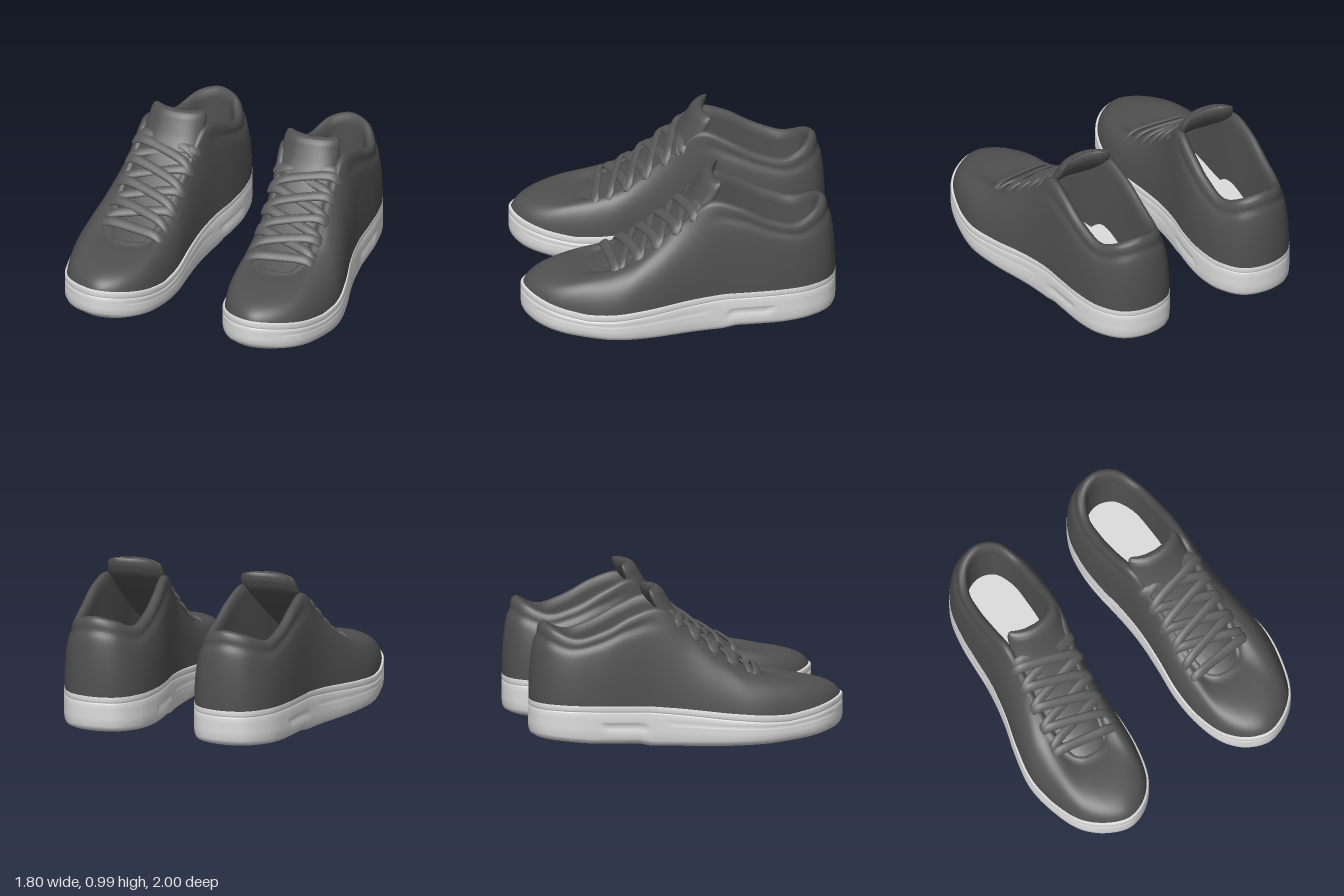
import * as THREE from 'three';

const N = 144; // points around the shoe
const { lerp, clamp, smoothstep } = THREE.MathUtils;

// Stations from the toe, round the outer side, heel and inner side:
// sole outline x, z, then opening rim x, y, z
const STATIONS = [
  [.525, .997, .49, .385, .56], [.66, .95, .58, .385, .55], [.79, .83, .64, .39, .50], [.868, .63, .68, .43, .40],
  [.90, .40, .70, .50, .27], [.86, .17, .70, .60, .13], [.80, -.05, .69, .73, -.03], [.765, -.25, .69, .86, -.20],
  [.755, -.45, .70, .82, -.38], [.745, -.62, .695, .73, -.56], [.705, -.81, .67, .68, -.74], [.60, -.955, .585, .735, -.885],
  [.44, -1.0, .445, .765, -.935], [.28, -.955, .31, .735, -.885], [.185, -.81, .235, .68, -.74], [.155, -.62, .22, .73, -.56],
  [.165, -.43, .225, .82, -.38], [.20, -.22, .25, .88, -.20], [.215, -.03, .28, .73, -.03], [.21, .17, .30, .60, .13],
  [.195, .40, .32, .50, .27], [.215, .63, .34, .43, .40], [.28, .83, .37, .39, .50], [.39, .95, .43, .385, .55],
];

// Heights along z, as [z, y] pairs
const SOLE_TOP = [[1, .278], [.9, .255], [.75, .222], [.6, .197], [.45, .197], [.2, .215], [0, .235], [-.28, .262], [-1, .28]];
const SOLE_BOTTOM = [[1, .088], [.92, .066], [.73, .038], [.47, .015], [.2, .003], [0, 0], [-.27, .002], [-.35, .02], [-.65, .025], [-1, .05]];
const THROAT = [[.6, .37], [.54, .385], [.4, .43], [.27, .5], [.13, .6], [-.03, .73], [-.2, .86]];

function heightAt(table, z) {
  for (let i = 1; i < table.length; i++) {
    const [z0, y0] = table[i - 1], [z1, y1] = table[i];
    if (z >= z1) return lerp(y0, y1, clamp((z - z0) / (z1 - z0), 0, 1));
  }
  return table[table.length - 1][1];
}
const throatX = (z) => .465 + .035 * clamp((z + .2) / .75, 0, 1);

// Surface through rows of points, each row a closed ring
function loft(rows) {
  const n = rows[0].length, index = [];
  for (let j = 0; j < rows.length - 1; j++) {
    for (let i = 0; i < n; i++) {
      const k = (i + 1) % n, a = j * n + i, b = j * n + k, c = b + n, d = a + n;
      index.push(a, b, c, a, c, d);
    }
  }
  const g = new THREE.BufferGeometry();
  g.setAttribute('position', new THREE.Float32BufferAttribute(rows.flat(2), 3));
  g.setIndex(index);
  g.computeVertexNormals();
  return g;
}

// Closed curve sampled with its outward plan direction
function ring(points) {
  const curve = new THREE.CatmullRomCurve3(points, true);
  return Array.from({ length: N }, (_, i) => {
    const p = curve.getPoint(i / N), t = curve.getTangent(i / N);
    const l = Math.hypot(t.x, t.z) || 1;
    return { x: p.x, y: p.y, z: p.z, ox: -t.z / l, oz: t.x / l };
  });
}
const OUTLINE = ring(STATIONS.map((s) => new THREE.Vector3(s[0], 0, s[1])));
const RIM = ring(STATIONS.map((s) => new THREE.Vector3(s[2], s[3], s[4])));

function soleGeometry() {
  const rows = [];
  // underside, closing on a line down the middle
  for (const k of [0, .3, .6, .85]) {
    rows.push(OUTLINE.map((p) => {
      const z = p.z * lerp(.75, 1, k);
      return [lerp(.48, p.x, k), heightAt(SOLE_BOTTOM, z), z];
    }));
  }
  const side = (inset, y) => rows.push(OUTLINE.map((p) => {
    const d = inset(p.z);
    return [p.x - p.ox * d, y(heightAt(SOLE_BOTTOM, p.z), heightAt(SOLE_TOP, p.z)), p.z - p.oz * d];
  }));
  side(() => .035, (b) => b);
  side(() => .013, (b) => b + .012);
  side(() => .003, (b) => b + .035);
  // side rib at the front and slot at the heel
  const slot = (z) => (z < -.31 && z > -.57 ? .01 : 0);
  const rib = (z) => (z > -.17 && z < .9 ? .004 : 0);
  side(() => 0, (b, t) => lerp(b, t, .32));
  side(slot, (b, t) => lerp(b, t, .38));
  side(slot, (b, t) => lerp(b, t, .5));
  side(() => 0, (b, t) => lerp(b, t, .53));
  side(rib, (b, t) => lerp(b, t, .59));
  side(() => 0, (b, t) => lerp(b, t, .64));
  // stitched groove and upper lip
  for (const [d, h] of [[0, .05], [.006, .044], [.006, .04], [0, .034], [0, .006], [.006, 0], [.06, 0]]) {
    side(() => d, (b, t) => t - h);
  }
  return loft(rows);
}

function upperGeometry() {
  const rows = [], steps = 22;
  // outer wall, bulging from the sole up to the rim
  for (let j = 0; j <= steps; j++) {
    const t = j / steps, a = (1 - t) ** 2, b = 2 * t * (1 - t), c = t * t;
    rows.push(OUTLINE.map((p, i) => {
      const r = RIM[i], front = smoothstep(p.z, .35, .85), fore = smoothstep(p.z, -.4, .4);
      const inset = lerp(.003, .013, fore), lean = lerp(-.04, .09, fore);
      const bx = p.x - p.ox * inset, bz = p.z - p.oz * inset, by = heightAt(SOLE_TOP, p.z) - .01;
      const cx = lerp(bx, r.x, lean), cz = lerp(bz, r.z, lean), cy = lerp(by, r.y, .7 + .45 * front);
      // crease under the padded collar
      const crease = .01 * Math.exp(-(((t - .8) / .07) ** 2)) * (1 - smoothstep(p.z, -.4, -.15));
      return [a * bx + b * cx + c * r.x - p.ox * crease, a * by + b * cy + c * r.y, a * bz + b * cz + c * r.z - p.oz * crease];
    }));
  }
  // rolled rim and lining
  for (const [d, h] of [[.012, .011], [.03, .015], [.048, .002], [.056, -.05]]) {
    rows.push(RIM.map((r) => [r.x - r.ox * d, r.y + h, r.z - r.oz * d]));
  }
  rows.push(RIM.map((r) => [r.x - r.ox * .06, Math.max(.29, r.y - .5), r.z - r.oz * .06]));
  return loft(rows);
}

function insoleGeometry() {
  return loft([.91, .5, .01].map((k) => OUTLINE.map((p) => [lerp(.48, p.x, Math.min(k, .84)), .305, p.z * k])));
}

function tongueGeometry() {
  // centre line z, y with half width and half thickness
  const stations = [
    [.6, .355, .13, .015], [.4, .432, .155, .022], [.2, .555, .17, .024], [0, .715, .18, .026], [-.1, .815, .19, .035],
    [-.16, .895, .19, .045], [-.185, .945, .186, .042], [-.198, .972, .178, .03], [-.205, .985, .165, .014], [-.206, .987, .15, .001],
  ];
  const path = new THREE.CatmullRomCurve3(stations.map(([z, y]) => new THREE.Vector3(0, y, z)));
  const size = new THREE.CatmullRomCurve3(stations.map(([, , w, h]) => new THREE.Vector3(w, h, 0)));
  const rows = [];
  for (let j = 0; j <= 54; j++) {
    const p = path.getPoint(j / 54), { x: w, y: h } = size.getPoint(j / 54);
    const top = smoothstep(p.y, .6, .95), tilt = lerp(.88, .3, top), row = [];
    for (let i = 0; i < 40; i++) {
      const a = (i / 40) * Math.PI * 2, u = Math.sign(Math.cos(a)) * Math.abs(Math.cos(a)) ** .6;
      const n = Math.sign(Math.sin(a)) * Math.abs(Math.sin(a)) ** .8 * h;
      row.push([
        throatX(p.z) - .01 * top + u * w,
        p.y + n * Math.sin(tilt) - lerp(.022, .008, top) * u * u,
        p.z + n * Math.cos(tilt) - .055 * top * u * u,
      ]);
    }
    rows.push(row.reverse());
  }
  return loft(rows);
}

// Flat lace band from z0 on the inner side to z1 on the outer side
function laceGeometry(z0, z1, lift = 0, half = .235) {
  const rows = [], steps = 28;
  for (let j = 0; j <= steps; j++) {
    const u = (j / steps) * 2 - 1, z = lerp(z0, z1, (u + 1) / 2);
    const y = heightAt(THROAT, z) + .034 - .06 * u ** 6 + lift * (1 - u * u);
    const size = j === 0 || j === steps ? .02 : 1, row = [];
    for (let i = 0; i < 12; i++) {
      const a = (i / 12) * Math.PI * 2, s = Math.cos(a) * .033 * size, n = Math.sin(a) * .013 * size;
      row.push([throatX(z) + .01 + u * half, y + .64 * s + .77 * n, z - .77 * s + .64 * n]);
    }
    rows.push(row);
  }
  return loft(rows);
}

function mirrored(geometry) {
  const g = geometry.clone().scale(-1, 1, 1), a = g.index.array;
  for (let i = 0; i < a.length; i += 3) [a[i], a[i + 1]] = [a[i + 1], a[i]];
  return g;
}

export function createModel() {
  const material = (name, color, side = THREE.FrontSide) => {
    const m = new THREE.MeshStandardMaterial({ color, side });
    m.name = name;
    return m;
  };
  const dark = material('dark grey fabric', 0x505050, THREE.DoubleSide);
  const laceGrey = material('lace grey', 0x595959);
  const light = material('light grey rubber', 0xdcdcdc);

  const parts = [
    ['sole', soleGeometry(), light],
    ['upper', upperGeometry(), dark],
    ['insole', insoleGeometry(), light],
    ['tongue', tongueGeometry(), dark],
    ['bottomLace', laceGeometry(.47, .41, .004, .24), laceGrey],
  ];
  // criss-cross laces up the throat
  const eyelets = [.38, .26, .14, .02, -.09];
  for (let i = 0; i < eyelets.length - 1; i++) {
    parts.push(['lowerLace', laceGeometry(eyelets[i + 1], eyelets[i]), laceGrey]);
    parts.push(['upperLace', laceGeometry(eyelets[i], eyelets[i + 1], .016), laceGrey]);
  }
  parts.push(['topLace', laceGeometry(-.06, -.12, .012, .22), laceGrey]);

  const model = new THREE.Group();
  model.name = 'pairOfSneakers';
  for (const name of ['leftShoe', 'rightShoe']) {
    const shoe = new THREE.Group();
    shoe.name = name;
    for (const [part, geometry, mat] of parts) {
      const mesh = new THREE.Mesh(name === 'leftShoe' ? geometry : mirrored(geometry), mat);
      mesh.name = part;
      shoe.add(mesh);
    }
    model.add(shoe);
  }
  return model;
}
